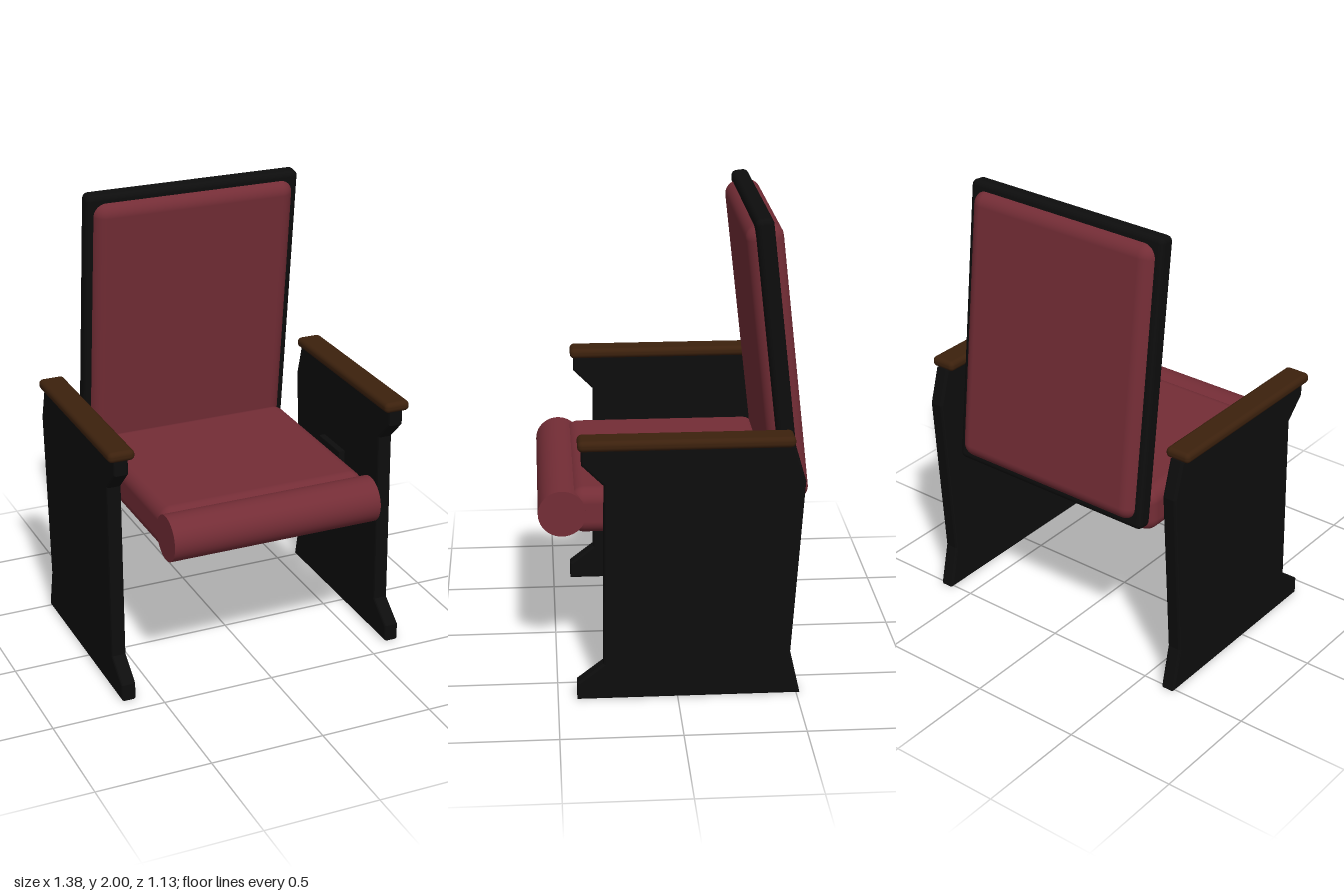
import * as THREE from 'three';
import { RoundedBoxGeometry } from 'three/addons/geometries/RoundedBoxGeometry.js';

const fabric = new THREE.MeshStandardMaterial({ color: 0x742d36 });
fabric.name = 'red fabric';
const black = new THREE.MeshStandardMaterial({ color: 0x0d0d0d });
black.name = 'black panel';
const wood = new THREE.MeshStandardMaterial({ color: 0x3c210d });
wood.name = 'dark wood';

function add(parent, name, geometry, material, x = 0, y = 0, z = 0) {
  const mesh = new THREE.Mesh(geometry, material);
  mesh.name = name;
  mesh.position.set(x, y, z);
  parent.add(mesh);
  return mesh;
}

// Plate cut from a [z, y] outline, centred on x, with bevelled edges
function plate(points, thickness, bevel) {
  const shape = new THREE.Shape(points.map(([z, y]) => new THREE.Vector2(z, y)));
  const geometry = new THREE.ExtrudeGeometry(shape, {
    depth: thickness - 2 * bevel,
    bevelSize: bevel, bevelThickness: bevel, bevelOffset: -bevel, bevelSegments: 2,
  });
  geometry.translate(0, 0, bevel - thickness / 2);
  geometry.rotateY(-Math.PI / 2);
  return geometry;
}

export function createModel() {
  const chair = new THREE.Group();
  chair.name = 'auditoriumChair';

  // Tilted backrest: thin frame with a cushion bulging out on both faces
  const backrest = new THREE.Group();
  backrest.name = 'backrest';
  backrest.position.set(0, 1.37, -0.426);
  backrest.rotation.x = 0.113;
  chair.add(backrest);
  add(backrest, 'backFrame', new RoundedBoxGeometry(0.985, 1.265, 0.077, 3, 0.025), black);
  add(backrest, 'backCushion', new RoundedBoxGeometry(0.93, 1.2, 0.156, 6, 0.06), fabric);

  // Seat cushion with a round bolster along the front edge
  add(chair, 'seatCushion', new RoundedBoxGeometry(0.94, 0.2, 0.87, 6, 0.06), fabric, 0, 0.76, 0);
  const bolster = new THREE.CylinderGeometry(0.1, 0.1, 0.944, 40);
  bolster.rotateZ(Math.PI / 2);
  add(chair, 'seatBolster', bolster, fabric, 0, 0.76, 0.468);

  // Side panels, armrests and seat hinges
  const panel = plate([
    [0.42, 0], [-0.515, 0], [-0.472, 0.19], [-0.522, 0.95], [-0.475, 1.11], [0.39, 1.11],
    [0.39, 1.04], [0.3, 0.95], [0.31, 0.16], [0.42, 0.075],
  ], 0.064, 0.01);
  const armrest = new RoundedBoxGeometry(0.116, 0.046, 0.88, 4, 0.02);
  const hinge = plate([
    [0.02, 0.775], [0.02, 0.68], [-0.005, 0.65], [-0.155, 0.65], [-0.18, 0.68], [-0.18, 0.775],
  ], 0.03, 0.004);
  for (const [side, s] of [['left', 1], ['right', -1]]) {
    add(chair, side + 'SidePanel', panel, black, s * 0.63);
    add(chair, side + 'Armrest', armrest, wood, s * 0.63, 1.127, -0.035);
    add(chair, side + 'Hinge', hinge, black, s * 0.567);
  }
  return chair;
}
